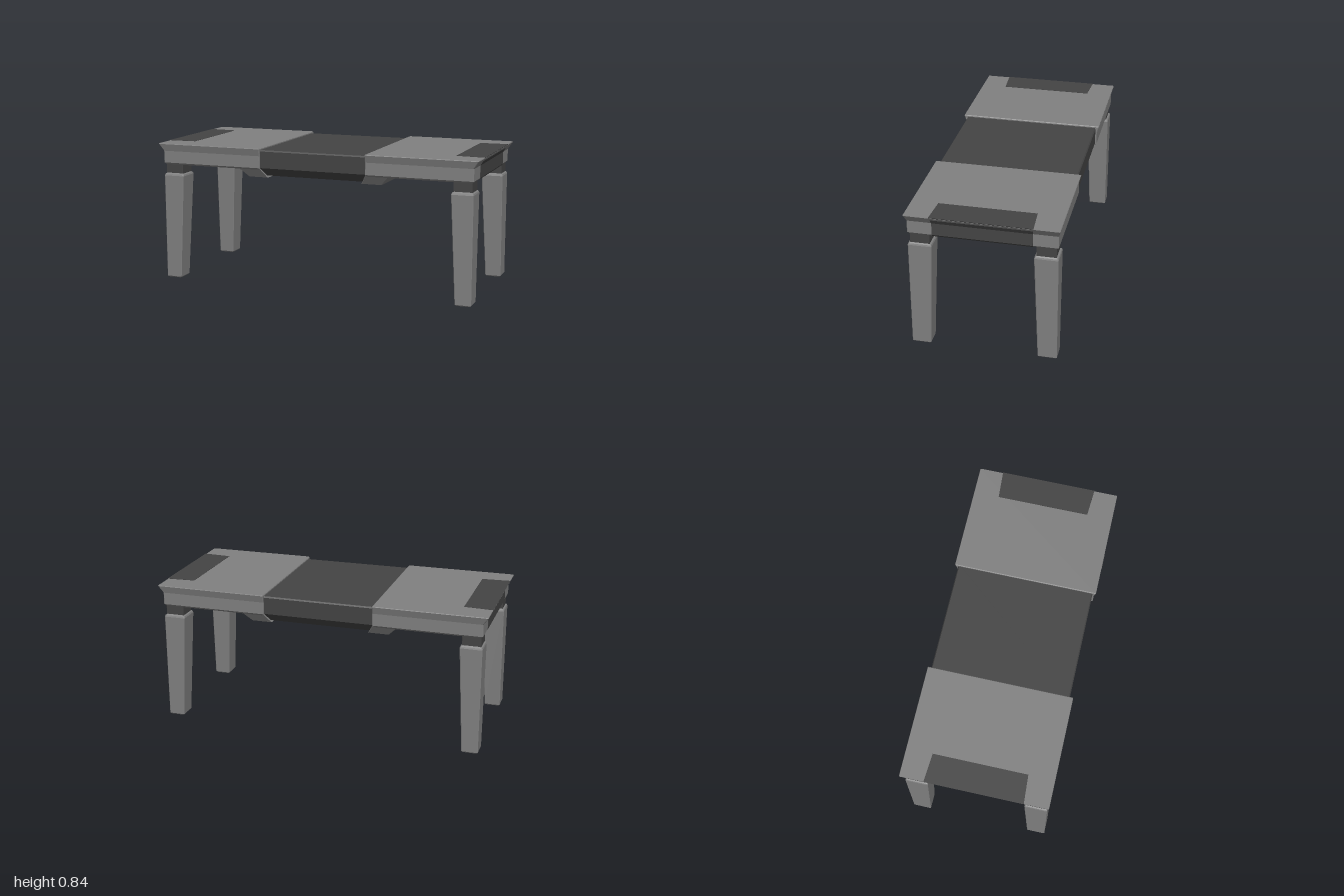
import * as THREE from 'three';

const grey = new THREE.MeshStandardMaterial({ color: 0x808080, flatShading: true });
const dark = new THREE.MeshStandardMaterial({ color: 0x444444, flatShading: true });

// Rectangle with chamfered corners at height y, counter-clockwise from above
function rect(y, xa, xb, za, zb, c = 0.004) {
  const x0 = Math.min(xa, xb), x1 = Math.max(xa, xb);
  const z0 = Math.min(za, zb), z1 = Math.max(za, zb);
  return [
    [x0, z1 - c], [x0 + c, z1], [x1 - c, z1], [x1, z1 - c],
    [x1, z0 + c], [x1 - c, z0], [x0 + c, z0], [x0, z0 + c],
  ].map(([x, z]) => [x, y, z]);
}

// Closed solid through cross-sections listed from bottom to top
function loft(name, material, rings) {
  const n = rings[0].length, pos = [];
  const tri = (a, b, c) => pos.push(...a, ...b, ...c);
  for (let r = 0; r < rings.length - 1; r++) {
    for (let i = 0; i < n; i++) {
      const j = (i + 1) % n, lo = rings[r], hi = rings[r + 1];
      tri(lo[i], lo[j], hi[j]);
      tri(lo[i], hi[j], hi[i]);
    }
  }
  const bottom = rings[0], top = rings[rings.length - 1];
  for (let i = 1; i < n - 1; i++) {
    tri(bottom[0], bottom[i + 1], bottom[i]);
    tri(top[0], top[i], top[i + 1]);
  }
  const geometry = new THREE.BufferGeometry();
  geometry.setAttribute('position', new THREE.Float32BufferAttribute(pos, 3));
  geometry.computeVertexNormals();
  const mesh = new THREE.Mesh(geometry, material);
  mesh.name = name;
  return mesh;
}

// One end of the table top, built on the +x side
function tableEnd(name) {
  const end = new THREE.Group();
  end.name = name;
  end.add(loft('endSlab', grey, [
    rect(0.708, 0.34, 0.96, -0.41, 0.41),
    rect(0.718, 0.33, 0.97, -0.418, 0.418),
    rect(0.79, 0.33, 0.97, -0.418, 0.418),
    rect(0.832, 0.33, 0.998, -0.43, 0.43),
    rect(0.836, 0.334, 0.997, -0.428, 0.428),
  ]));
  // Lip that wraps under the middle panel
  end.add(loft('underLip', grey, [
    rect(0.658, 0.295, 0.42, -0.375, 0.375),
    rect(0.715, 0.33, 0.475, -0.411, 0.411),
  ]));
  // Inlay wrapping over the flared end, slightly proud of the slab
  const inlay = (y, x, zIn, zOut) => [
    [0.83, y, zIn], [x, y, zOut], [x, y, -zOut], [0.83, y, -zIn],
  ];
  end.add(loft('endInlay', dark, [
    inlay(0.706, 0.962, 0.276, 0.278),
    inlay(0.718, 0.972, 0.276, 0.278),
    inlay(0.79, 0.972, 0.276, 0.278),
    inlay(0.8375, 1, 0.276, 0.287),
  ]));
  return end;
}

// Tapered leg with straight outer faces and a recessed neck
function leg(name, sx, sz) {
  const group = new THREE.Group();
  group.name = name;
  const ring = (y, xi, xo, zi, zo, c) => rect(y, sx * xi, sx * xo, sz * zi, sz * zo, c);
  group.add(loft('legPost', grey, [
    ring(0, 0.878, 0.965, 0.312, 0.414),
    ring(0.006, 0.873, 0.97, 0.308, 0.418),
    ring(0.638, 0.84, 0.97, 0.284, 0.418),
    ring(0.647, 0.843, 0.967, 0.287, 0.415),
    ring(0.655, 0.853, 0.957, 0.297, 0.405),
  ]));
  group.add(loft('legNeck', dark, [
    ring(0.645, 0.85, 0.96, 0.295, 0.406, 0.002),
    ring(0.715, 0.85, 0.96, 0.295, 0.406, 0.002),
  ]));
  return group;
}

export function createModel() {
  const table = new THREE.Group();
  table.name = 'table';

  const leftEnd = tableEnd('leftEnd');
  const rightEnd = tableEnd('rightEnd');
  rightEnd.rotation.y = Math.PI;
  table.add(leftEnd, rightEnd);

  // Recessed middle panel with sloping lower sides
  table.add(loft('middlePanel', dark, [
    rect(0.67, -0.34, 0.34, -0.37, 0.37),
    rect(0.718, -0.34, 0.34, -0.408, 0.408),
    rect(0.818, -0.34, 0.34, -0.41, 0.41),
    rect(0.826, -0.34, 0.34, -0.404, 0.404),
  ]));

  for (const [side, sx] of [['Left', 1], ['Right', -1]]) {
    for (const [face, sz] of [['front', 1], ['back', -1]]) {
      table.add(leg(`${face}${side}Leg`, sx, sz));
    }
  }
  return table;
}
